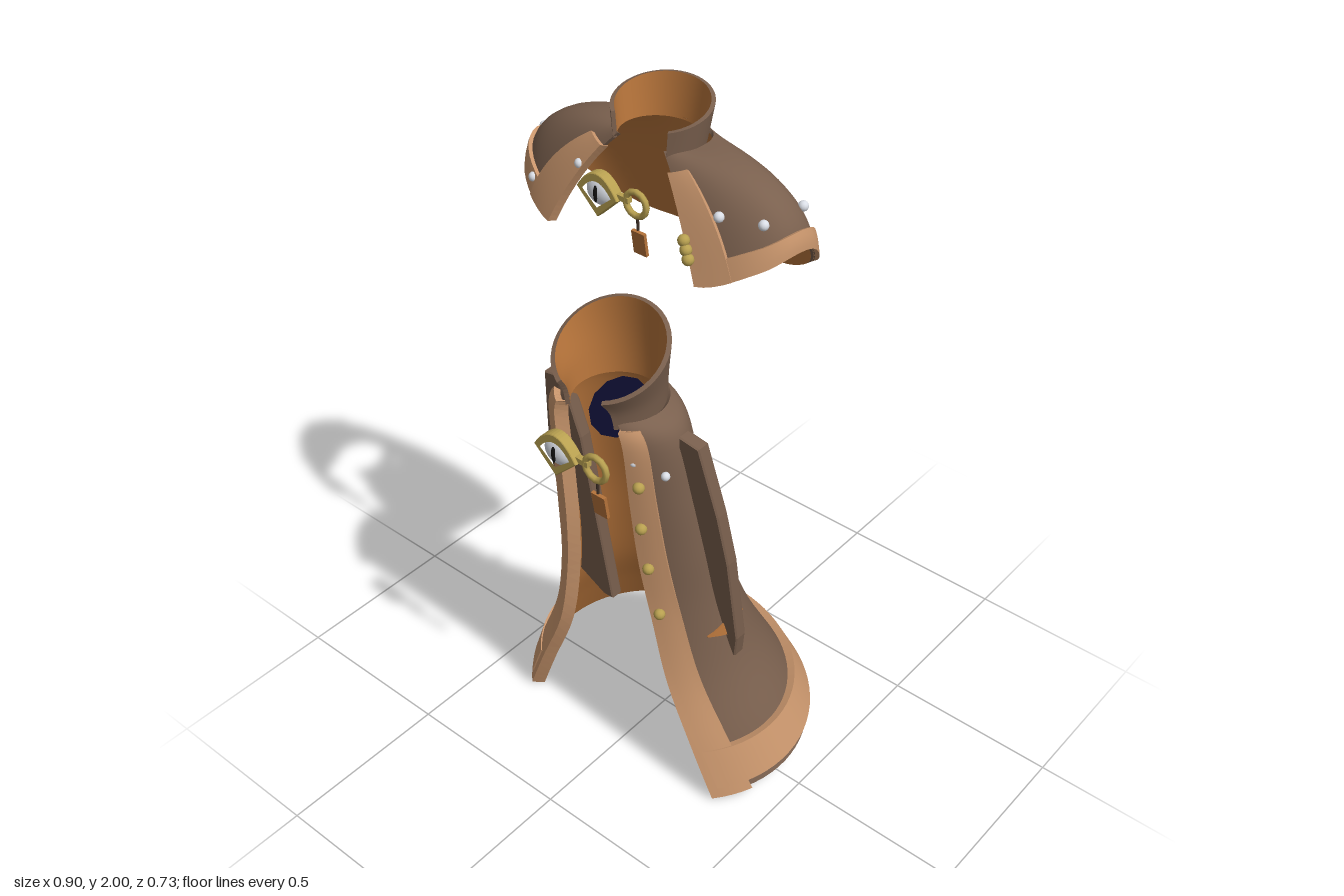
import * as THREE from 'three';

const mat = (name, color, side = THREE.FrontSide) => {
  const m = new THREE.MeshStandardMaterial({ color, side });
  m.name = name;
  return m;
};

export function createModel() {
  const leather = mat('brown leather', 0x7a604e);
  const lining = mat('copper lining', 0xb5733a);
  const trim = mat('tan trim', 0xc8956c);
  const gold = mat('gold', 0xb8a050);
  const silver = mat('silver white', 0xe0e4ec);
  const black = mat('black', 0x111111);
  const navy = mat('navy', 0x0c0c2c, THREE.DoubleSide);
  const seamDark = mat('dark seam', 0x3e3027);

  const root = new THREE.Group();
  const add = (name, geo, material, parent = root) => {
    const m = new THREE.Mesh(geo, material);
    m.name = name;
    parent.add(m);
    return m;
  };

  // smooth interpolation through evenly spaced keys
  const spline = (keys, t) => {
    const n = keys.length - 1, s = Math.min(Math.max(t, 0), 1) * n;
    const i = Math.min(Math.floor(s), n - 1), k = s - i;
    const at = j => keys[Math.min(Math.max(j, 0), n)];
    const [a, b, c, d] = [at(i - 1), at(i), at(i + 1), at(i + 2)];
    return b.map((_, j) => b[j] + 0.5 * k * (c[j] - a[j] + k * (2 * a[j] - 5 * b[j] + 4 * c[j] - d[j] + k * (3 * (b[j] - c[j]) + d[j] - a[j]))));
  };

  // open tilted rings; key = [yBack, yFront, zBack, zFront, halfWidth, openingHalfWidth]
  const ringSurface = keys => (u, v) => {
    const [yb, yf, zb, zf, a, e] = spline(keys, v);
    const max = Math.PI - Math.asin(e / a), phi = u * max;
    const k = (1 - Math.cos(phi)) / (1 - Math.cos(max));
    return new THREE.Vector3(a * Math.sin(phi), yb + (yf - yb) * k, zb + (zf - zb) * k);
  };

  const offsetPoint = (f, u, v, t) => {
    const e = 0.002, v0 = Math.max(v - e, 0), v1 = Math.min(v + e, 1);
    const du = f(u + e, v).sub(f(u - e, v)), dv = f(u, v1).sub(f(u, v0));
    return f(u, v).addScaledVector(dv.cross(du).normalize(), t);
  };

  // thick cloth patch between offsets t0 (inside) and t1 (outside)
  const shell = (name, f, [u0, u1], [v0, v1], [t0, t1], nu, nv, [outer, inner, rim], parent) => {
    const grid = t => Array.from({ length: nv + 1 }, (_, j) => Array.from({ length: nu + 1 }, (_, i) =>
      offsetPoint(f, u0 + (u1 - u0) * i / nu, v0 + (v1 - v0) * j / nv, t)));
    const A = grid(t1), B = grid(t0);
    const g = new THREE.Group();
    g.name = name;
    const face = (label, G, flip, m) => {
      const geo = new THREE.BufferGeometry().setFromPoints(G.flat());
      const idx = [], w = nu + 1;
      for (let j = 0; j < nv; j++) for (let i = 0; i < nu; i++) {
        const a = j * w + i, b = a + 1, c = a + w, d = c + 1;
        idx.push(...(flip ? [a, b, d, a, d, c] : [a, d, b, a, c, d]));
      }
      geo.setIndex(idx);
      geo.computeVertexNormals();
      add(label, geo, m, g);
    };
    face(name + ' outside', A, false, outer);
    face(name + ' inside', B, true, inner);
    const loop = [];
    for (let i = 0; i < nu; i++) loop.push([0, i]);
    for (let j = 0; j < nv; j++) loop.push([j, nu]);
    for (let i = nu; i > 0; i--) loop.push([nv, i]);
    for (let j = nv; j > 0; j--) loop.push([j, 0]);
    const pts = [];
    loop.forEach(([j, i], n) => {
      const [l, k] = loop[(n + 1) % loop.length];
      pts.push(A[j][i], A[l][k], B[l][k], A[j][i], B[l][k], B[j][i]);
    });
    const rimGeo = new THREE.BufferGeometry().setFromPoints(pts);
    rimGeo.computeVertexNormals();
    add(name + ' edge', rimGeo, rim, g);
    (parent || root).add(g);
  };

  // nearest point of a surface, pushed out by t
  const snap = (f, p, t) => {
    let best = Infinity, uv = [0, 0];
    for (let i = -60; i <= 60; i++) for (let j = 0; j <= 60; j++) {
      const d = f(i / 60, j / 60).distanceToSquared(p);
      if (d < best) { best = d; uv = [i / 60, j / 60]; }
    }
    return offsetPoint(f, ...uv, t);
  };
  const studs = (name, f, list, r, t, m) => list.forEach(p =>
    add(name, new THREE.SphereGeometry(r, 12, 8), m).position.copy(snap(f, new THREE.Vector3(...p), t)));

  const cloth = [leather, lining, leather], tan = [trim, trim, trim], dark = [seamDark, seamDark, seamDark];

  // long coat
  const coat = ringSurface([
    [0.11, 0.01, -0.365, 0.19, 0.44, 0.345], [0.23, 0.17, -0.305, 0.2, 0.38, 0.28],
    [0.4, 0.38, -0.215, 0.205, 0.3, 0.195], [0.6, 0.6, -0.13, 0.215, 0.255, 0.15],
    [0.8, 0.8, -0.06, 0.235, 0.235, 0.125], [1.0, 1.0, 0, 0.255, 0.215, 0.115],
    [1.2, 1.19, 0.035, 0.275, 0.19, 0.11], [1.25, 1.25, 0.055, 0.28, 0.135, 0.085]]);
  shell('coat', coat, [-1, 1], [0, 1], [-0.012, 0], 56, 42, cloth);
  shell('coat hem band', coat, [-0.98, 0.98], [0.04, 0.138], [-0.004, 0.022], 56, 4, tan);
  shell('coat back seam', coat, [-0.008, 0.008], [0, 0.96], [0, 0.008], 1, 30, dark);
  shell('coat collar', ringSurface([[1.23, 1.23, 0.055, 0.285, 0.125, 0.08], [1.34, 1.28, 0.062, 0.295, 0.137, 0.078],
    [1.47, 1.32, 0.072, 0.32, 0.16, 0.072]]), [-1, 1], [0, 1], [-0.012, 0], 40, 8, cloth);
  for (const s of [-1, 1]) {
    const range = (a, b) => s > 0 ? [a, b] : [-b, -a];
    shell('coat front trim', coat, range(0.875, 1.01), [0, 0.93], [-0.02, 0.018], 4, 36, tan);
    // side slash showing the lining
    const slash = (u, v) => coat(u, 0.375 + (v - 0.5) * 0.035 * Math.max(0.05, 1 - Math.abs(Math.abs(u) - 0.64) / 0.14));
    shell('side slash', slash, range(0.5, 0.78), [0, 1], [0.001, 0.006], 8, 1, [lining, lining, lining]);
    // long hanging side panel, leaning back as it falls
    const outline = [[0.17, 0.35], [0.2, 0.35], [0.29, 0.42], [0.305, 0.5], [0.305, 0.8], [0.29, 0.97], [0.255, 1.19], [0.2, 1.2], [0.17, 1.0]];
    const geo = new THREE.ExtrudeGeometry(new THREE.Shape(outline.map(p => new THREE.Vector2(s * p[0], p[1]))),
      { depth: 0.03, bevelThickness: 0.005, bevelSize: 0.003, bevelSegments: 1 });
    const pos = geo.attributes.position;
    for (let i = 0; i < pos.count; i++) pos.setZ(i, pos.getZ(i) + 0.145 - (1.2 - pos.getY(i)) * 0.165);
    geo.computeVertexNormals();
    add('side panel', geo, leather);
  }
  const neck = add('neck disc', new THREE.CircleGeometry(0.085, 12), navy);
  neck.position.set(0, 1.2, 0.175);
  neck.rotation.x = -Math.PI / 2 + 0.6;

  // short shoulder cape, v = 0 at the lower edge and 1 at the neck
  const edgeHeights = [[1.55], [1.555], [1.63], [1.73], [1.7], [1.64]];
  const power = x => Math.sign(x) * Math.abs(x) ** 0.8;
  const cape = (u, v) => {
    const phi = u * Math.PI * 150 / 180, w = 1 - v, s = Math.sin(phi) ** 2;
    const q = w * Math.PI / 2, mix = THREE.MathUtils.lerp;
    const out = mix(w, Math.sin(q), s), drop = mix(w, 1 - Math.cos(q), s);
    return new THREE.Vector3(mix(0.12, 0.4, out) * power(Math.sin(phi)),
      mix(1.9, spline(edgeHeights, Math.abs(u))[0], drop),
      mix(0.005, -0.01, out) - mix(0.09, 0.185, out) * power(Math.cos(phi)));
  };
  shell('cape', cape, [-1, 1], [0, 1], [-0.01, 0], 60, 20, cloth);
  shell('cape hem trim', cape, [-1, 1], [0, 0.17], [-0.004, 0.01], 60, 4, [trim, lining, trim]);
  shell('cape back seam', cape, [-0.008, 0.008], [0, 1], [0, 0.012], 1, 16, dark);
  for (const s of [-1, 1])
    shell('cape front trim', cape, s > 0 ? [0.89, 1.005] : [-1.005, -0.89], [0, 0.82], [-0.014, 0.012], 4, 16, tan);
  shell('cape collar', ringSurface([[1.89, 1.885, -0.085, 0.09, 0.115, 0.08], [2.0, 1.95, -0.1, 0.09, 0.13, 0.085]]),
    [-1, 1], [0, 1], [-0.01, 0], 36, 4, cloth);

  // eye clasp with ring and hanging tag
  const clasp = (x, y, z, k) => {
    const g = new THREE.Group();
    g.name = 'eye clasp';
    g.position.set(x, y, z);
    g.scale.setScalar(k);
    root.add(g);
    const lens = (w, top, low) => new THREE.Shape().moveTo(-w, 0)
      .quadraticCurveTo(-w * 0.5, top, 0, top).quadraticCurveTo(w * 0.5, top, w, 0)
      .lineTo(0, -low).lineTo(-w, 0);
    const rim = lens(0.068, 0.055, 0.066);
    rim.holes.push(lens(0.05, 0.034, 0.042));
    add('eye rim', new THREE.ExtrudeGeometry(rim, { depth: 0.02, bevelThickness: 0.006, bevelSize: 0.003, bevelSegments: 2, curveSegments: 8 }), gold, g).position.z = -0.008;
    add('eye back plate', new THREE.CylinderGeometry(0.05, 0.05, 0.008, 20).rotateX(Math.PI / 2), gold, g).position.z = -0.012;
    add('eyeball', new THREE.SphereGeometry(0.046, 20, 12).scale(1, 0.85, 0.5), silver, g);
    add('pupil', new THREE.SphereGeometry(0.025, 12, 8).scale(0.28, 1, 0.2), black, g).position.z = 0.0215;
    const ring = add('clasp ring', new THREE.TorusGeometry(0.035, 0.009, 8, 12), gold, g);
    ring.position.set(0.122, 0.005, 0);
    add('clasp hook', new THREE.BoxGeometry(0.045, 0.016, 0.016), gold, g).position.set(0.078, 0.008, 0);
    add('tag cord', new THREE.CylinderGeometry(0.004, 0.004, 0.04, 6), seamDark, g).position.set(0.127, -0.05, 0);
    const tag = add('hanging tag', new THREE.BoxGeometry(0.044, 0.072, 0.01), lining, g);
    tag.position.set(0.127, -0.112, -0.008);
    tag.rotation.x = 0.15;
  };
  clasp(-0.06, 1.125, 0.335, 1);
  clasp(-0.05, 1.79, 0.168, 0.88);

  // buttons and studs
  studs('coat button', coat, [[0.14, 1.08, 0.27], [0.145, 0.93, 0.26], [0.15, 0.79, 0.24], [0.165, 0.64, 0.22]], 0.016, 0.022, gold);
  studs('coat stud', coat, [[0.13, 1.14, 0.27], [0.2, 1.11, 0.225], [0.2, 1.07, 0.09], [0.12, 1.04, 0.015], [-0.035, 0.97, -0.02], [-0.17, 0.88, 0.0]], 0.012, 0.008, silver);
  studs('cape button', cape, [[0.16, 1.735, 0.17], [0.172, 1.715, 0.17], [0.187, 1.695, 0.17]], 0.015, 0.02, gold);
  studs('cape stud', cape, [[-0.315, 1.72, 0.13], [-0.16, 1.81, 0.13], [0.25, 1.81, 0.12], [0.355, 1.81, 0.075], [0.355, 1.8, -0.06],
    [0.265, 1.74, -0.12], [-0.34, 1.75, -0.09], [-0.395, 1.77, -0.015], [-0.095, 1.695, -0.155]], 0.013, 0.007, silver);

  return root;
}
